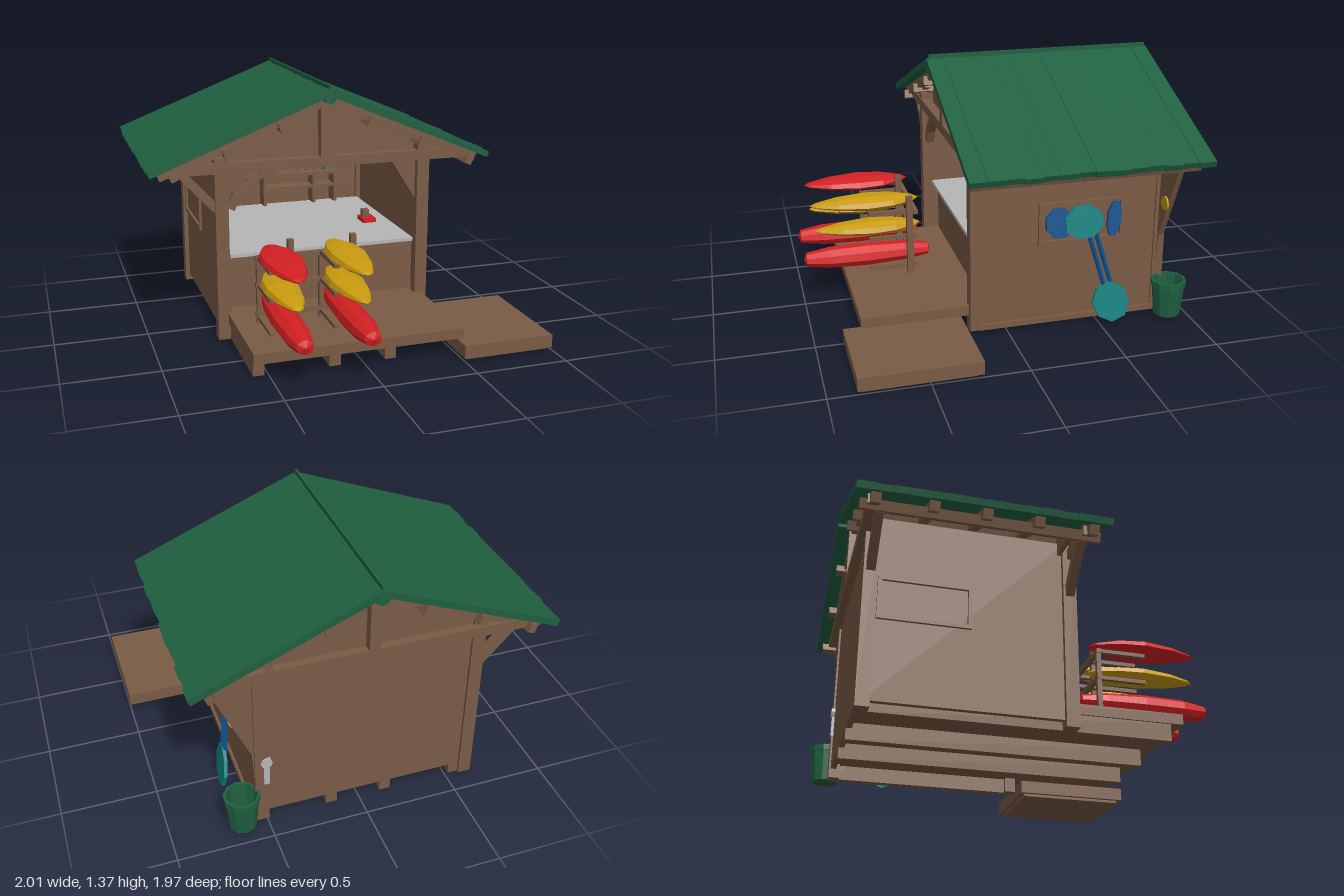
import * as THREE from 'three';

const mat = (name, color) => Object.assign(new THREE.MeshStandardMaterial({ color }), { name });
const wood = mat('wood', 0x7a5b45), green = mat('green', 0x1f6040), red = mat('red', 0xd32022);
const yellow = mat('yellow', 0xc99b10), teal = mat('teal', 0x10827f), blue = mat('blue', 0x10508a);
const grey = mat('grey', 0xb6b6b6);

function add(parent, name, geo, material) {
  const m = new THREE.Mesh(geo, material);
  m.name = name;
  parent.add(m);
  return m;
}
// Axis-aligned box from its extents
function box(parent, name, material, x0, x1, y0, y1, z0, z1) {
  const m = add(parent, name, new THREE.BoxGeometry(x1 - x0, y1 - y0, z1 - z0), material);
  m.position.set((x0 + x1) / 2, (y0 + y1) / 2, (z0 + z1) / 2);
  return m;
}
// Timber between two points
function bar(parent, name, material, a, b, w, d = w) {
  const A = new THREE.Vector3(...a), B = new THREE.Vector3(...b);
  const m = add(parent, name, new THREE.BoxGeometry(w, A.distanceTo(B), d), material);
  m.position.copy(A).add(B).multiplyScalar(0.5);
  m.quaternion.setFromUnitVectors(new THREE.Vector3(0, 1, 0), B.sub(A).normalize());
  return m;
}
// Upright panel from an outline in x and y
function panel(parent, name, material, pts, z, depth) {
  const s = new THREE.Shape(pts.map(p => new THREE.Vector2(...p)));
  const m = add(parent, name, new THREE.ExtrudeGeometry(s, { depth, bevelEnabled: false }), material);
  m.position.z = z;
  return m;
}
function facet(geo) {
  const g = geo.toNonIndexed();
  g.computeVertexNormals();
  return g;
}
let seed = 7;
const rnd = () => (seed = (seed * 16807) % 2147483647) / 2147483647 - 0.5;

const RX = -0.04, RY = 1.345; // ridge
const sides = [{ s: -1, ex: -1, ey: 0.97 }, { s: 1, ex: 0.88, ey: 0.96 }];

function makeRoof() {
  const g = new THREE.Group();
  g.name = 'roof';
  for (const { s, ex, ey } of sides) {
    const slope = new THREE.Group();
    slope.name = s < 0 ? 'roofRightSlope' : 'roofLeftSlope';
    slope.position.set(RX, RY, 0);
    slope.rotation.z = -s * Math.atan2(RY - ey, Math.abs(ex - RX));
    const len = Math.hypot(ex - RX, RY - ey);
    // Boards running down the slope
    const n = 14, w = 1.26 / n;
    for (let i = 0; i < n; i++) {
      const l = len + rnd() * 0.014, t = 0.034 + rnd() * 0.005, z = -0.98 + i * w;
      const m = box(slope, 'roofBoard', green, 0, l, -0.034, t - 0.034, z, z + w);
      m.position.x *= s;
    }
    // Rafters and purlins underneath
    for (const z of [-0.88, -0.6, -0.34, -0.08, 0.2]) {
      const m = box(slope, 'rafter', wood, 0.02, len - 0.04, -0.085, -0.034, z - 0.025, z + 0.025);
      m.position.x *= s;
    }
    for (const d of [0.3, 0.62, 0.92]) {
      const m = box(slope, 'purlin', wood, d - 0.02, d + 0.02, -0.11, -0.06, -0.95, 0.25);
      m.position.x *= s;
    }
    g.add(slope);
  }
  // Ridge cap
  const cap = add(g, 'ridgeCap', facet(new THREE.CylinderGeometry(0.035, 0.035, 1.26, 7)), green);
  cap.rotation.x = Math.PI / 2;
  cap.position.set(RX, RY - 0.045, -0.35);
  box(g, 'ridgeFin', green, RX - 0.006, RX + 0.006, RY - 0.02, RY + 0.02, -0.97, 0.27);
  return g;
}

function makeHut() {
  const g = new THREE.Group();
  g.name = 'hut';
  // Floor, joists and step platform
  box(g, 'deck', wood, -0.59, 0.53, 0.09, 0.145, -0.86, 0.765);
  for (const x of [-0.55, -0.15, 0.15]) box(g, 'joist', wood, x - 0.03, x + 0.03, 0, 0.09, -0.87, 0.7);
  box(g, 'platform', wood, 0.5, 1, 0.015, 0.085, 0.235, 0.855);
  box(g, 'platformBase', wood, 0.52, 0.98, 0, 0.015, 0.26, 0.83);
  // Back wall, flaring out to the eave, with gable
  panel(g, 'backWall', wood, [[-0.62, 0.06], [0.55, 0.06], [0.57, 0.45], [0.78, 0.92], [0.79, 0.97],
    [RX, 1.28], [-0.88, 0.95], [-0.62, 0.92]], -0.87, 0.03);
  // Side walls with window frames
  box(g, 'leftWall', wood, 0.52, 0.55, 0.01, 1.02, -0.85, 0.15);
  box(g, 'rightWall', wood, -0.62, -0.59, 0.04, 1.02, -0.85, 0.15);
  for (const [x, z0, z1] of [[0.555, -0.63, -0.18], [-0.625, -0.8, -0.35]]) {
    for (const y of [0.47, 0.68]) bar(g, 'windowFrame', wood, [x, y, z0], [x, y, z1], 0.02);
    for (const z of [z0, z1]) bar(g, 'windowFrame', wood, [x, 0.46, z], [x, 0.69, z], 0.02);
  }
  box(g, 'wallSill', wood, 0.53, 0.565, 0.01, 0.04, -0.85, 0.15);
  // Corner posts
  for (const z of [-0.85, 0.165]) {
    box(g, 'rightPost', wood, -0.645, -0.575, 0, 1.0, z - 0.035, z + 0.035);
    box(g, 'leftPost', wood, 0.49, 0.56, 0.01, 1.02, z - 0.03, z + 0.03);
    bar(g, 'eaveBrace', wood, [-0.61, 0.7, z], [-0.82, 0.93, z], 0.045);
  }
  // Gable trusses
  panel(g, 'frontGable', wood, [[-0.88, 0.95], [0.79, 0.95], [RX, 1.28]], 0.11, 0.02);
  for (const z of [0.18, -0.89]) {
    box(g, 'tieBeam', wood, -0.9, 0.8, 0.92, 0.975, z - 0.025, z + 0.025);
    box(g, 'kingPost', wood, RX - 0.03, RX + 0.03, 0.97, 1.28, z - 0.025, z + 0.025);
    for (const s of [-1, 1]) bar(g, 'strut', wood, [RX + s * 0.7, 0.975, z], [RX + s * 0.45, 1.08, z], 0.03);
  }
  // Corner braces in the front opening
  panel(g, 'openingBrace', wood, [[0.5, 0.68], [0.5, 0.93], [0.34, 0.93]], 0.13, 0.03);
  const arch = new THREE.QuadraticBezierCurve3(new THREE.Vector3(-0.56, 0.72, 0.16),
    new THREE.Vector3(-0.5, 0.9, 0.16), new THREE.Vector3(-0.3, 0.92, 0.16)).getPoints(4);
  for (let i = 0; i < 4; i++) bar(g, 'openingBrace', wood, arch[i].toArray(), arch[i + 1].toArray(), 0.045);
  return g;
}

function makeInterior() {
  const g = new THREE.Group();
  g.name = 'interior';
  box(g, 'counterTop', grey, -0.56, 0.49, 0.44, 0.46, -0.8, 0.15);
  box(g, 'counterFront', wood, -0.57, 0.5, 0.145, 0.44, 0.09, 0.11);
  // Notice board and shelf unit on the back wall
  box(g, 'noticeBoard', grey, -0.16, 0.04, 0.67, 0.79, -0.835, -0.815);
  box(g, 'shelf', wood, -0.15, 0.33, 0.645, 0.665, -0.84, -0.72);
  box(g, 'shelf', wood, -0.15, 0.33, 0.56, 0.575, -0.84, -0.74);
  for (const x of [-0.15, 0.17, 0.31]) box(g, 'shelfSide', wood, x, x + 0.02, 0.46, 0.65, -0.84, -0.74);
  [wood, wood, wood, green, teal].forEach((m, i) => {
    const b = add(g, 'bottle', new THREE.CylinderGeometry(0.006, 0.014, 0.06, 6), m);
    b.position.set(0.09 + i * 0.055, 0.695, -0.78);
  });
  box(g, 'redBox', red, 0.32, 0.4, 0.46, 0.485, -0.3, -0.2);
  box(g, 'boxHandle', wood, 0.33, 0.37, 0.485, 0.53, -0.28, -0.24);
  return g;
}

// Boat hull: faceted spindle, pointing along z
function kayak(parent, material, x, y, z0, z1, w, h, blunt) {
  const prof = blunt ? [[0, 0], [0.55, 0.02], [0.85, 0.2], [1, 0.5], [0.92, 0.8], [0.6, 0.98], [0, 1]]
    : [[0, 0], [0.4, 0.06], [0.85, 0.25], [1, 0.48], [0.75, 0.75], [0.3, 0.95], [0, 1]];
  const geo = new THREE.LatheGeometry(prof.map(([r, t]) => new THREE.Vector2(r / 2, t)), 9);
  geo.rotateX(Math.PI / 2);
  geo.scale(w, h, z1 - z0);
  add(parent, 'kayak', facet(geo), material).position.set(x, y, z0);
}

function makeRack() {
  const g = new THREE.Group();
  g.name = 'kayakRack';
  for (const [x, top, tw] of [[-0.4, red, 0.22], [-0.06, yellow, 0.2]]) {
    kayak(g, red, x + 0.01, 0.245, 0.28, 0.99, 0.15, 0.125, true);
    kayak(g, yellow, x, 0.405, 0.33, 0.92, 0.19, 0.085, false);
    kayak(g, top, x, 0.555, 0.34, 0.94, tw, 0.085, false);
    // Posts and arms
    box(g, 'rackPost', wood, x + 0.085, x + 0.115, 0.145, 0.6, 0.39, 0.425);
    box(g, 'rackPost', wood, x - 0.075, x - 0.05, 0.145, 0.49, 0.36, 0.385);
    for (const y of [0.17, 0.345, 0.495])
      for (const dx of [-0.06, 0.07]) box(g, 'rackArm', wood, x + dx - 0.012, x + dx + 0.012, y, y + 0.02, 0.36, 0.63);
  }
  for (const y of [0.18, 0.345, 0.49]) box(g, 'rackRail', wood, -0.48, 0.04, y, y + 0.025, 0.36, 0.385);
  return g;
}

function makePaddles() {
  const g = new THREE.Group();
  g.name = 'paddles';
  const blade = (name, m, x, y, z, h, w, tilt) => {
    const geo = new THREE.CylinderGeometry(1, 1, 0.018, 8);
    geo.rotateZ(Math.PI / 2);
    geo.rotateX(Math.PI / 8);
    geo.scale(1, h / 2, w / 2);
    const b = add(g, name, facet(geo), m);
    b.position.set(x, y, z);
    b.rotation.set(tilt, 0, 0.15);
  };
  for (const dz of [0, -0.04])
    bar(g, 'paddleShaft', blue, [0.58, 0.57, -0.42 + dz], [0.645, 0.14, -0.54 + dz], 0.018);
  blade('upperBlade', teal, 0.585, 0.58, -0.41, 0.19, 0.22, 0.1);
  blade('lowerBlade', teal, 0.65, 0.135, -0.55, 0.23, 0.2, 0.4);
  blade('rearBlade', blue, 0.572, 0.58, -0.28, 0.17, 0.16, 0);
  blade('rearBlade', blue, 0.575, 0.58, -0.58, 0.2, 0.08, -0.15);
  return g;
}

export function createModel() {
  const model = new THREE.Group();
  model.name = 'boatHut';
  model.add(makeRoof(), makeHut(), makeInterior(), makeRack(), makePaddles());
  // Bucket
  const bucket = new THREE.LatheGeometry([[0, 0], [0.072, 0], [0.088, 0.17], [0.095, 0.17], [0.095, 0.2],
    [0.08, 0.2], [0.066, 0.03], [0, 0.03]].map(p => new THREE.Vector2(...p)), 10);
  add(model, 'bucket', facet(bucket), green).position.set(0.635, 0.02, -0.885);
  // Life ring on the flare and lantern on the back wall
  const ring = add(model, 'lifeRing', new THREE.CylinderGeometry(0.04, 0.04, 0.009, 8), yellow);
  ring.rotation.x = Math.PI / 2;
  ring.position.set(0.635, 0.66, -0.836);
  const lamp = add(model, 'wallLantern', facet(new THREE.CylinderGeometry(0.03, 0.03, 0.02, 8)), grey);
  lamp.rotation.x = Math.PI / 2;
  lamp.position.set(0.5, 0.39, -0.88);
  box(model, 'lanternBracket', grey, 0.485, 0.515, 0.25, 0.37, -0.885, -0.87);
  return model;
}
